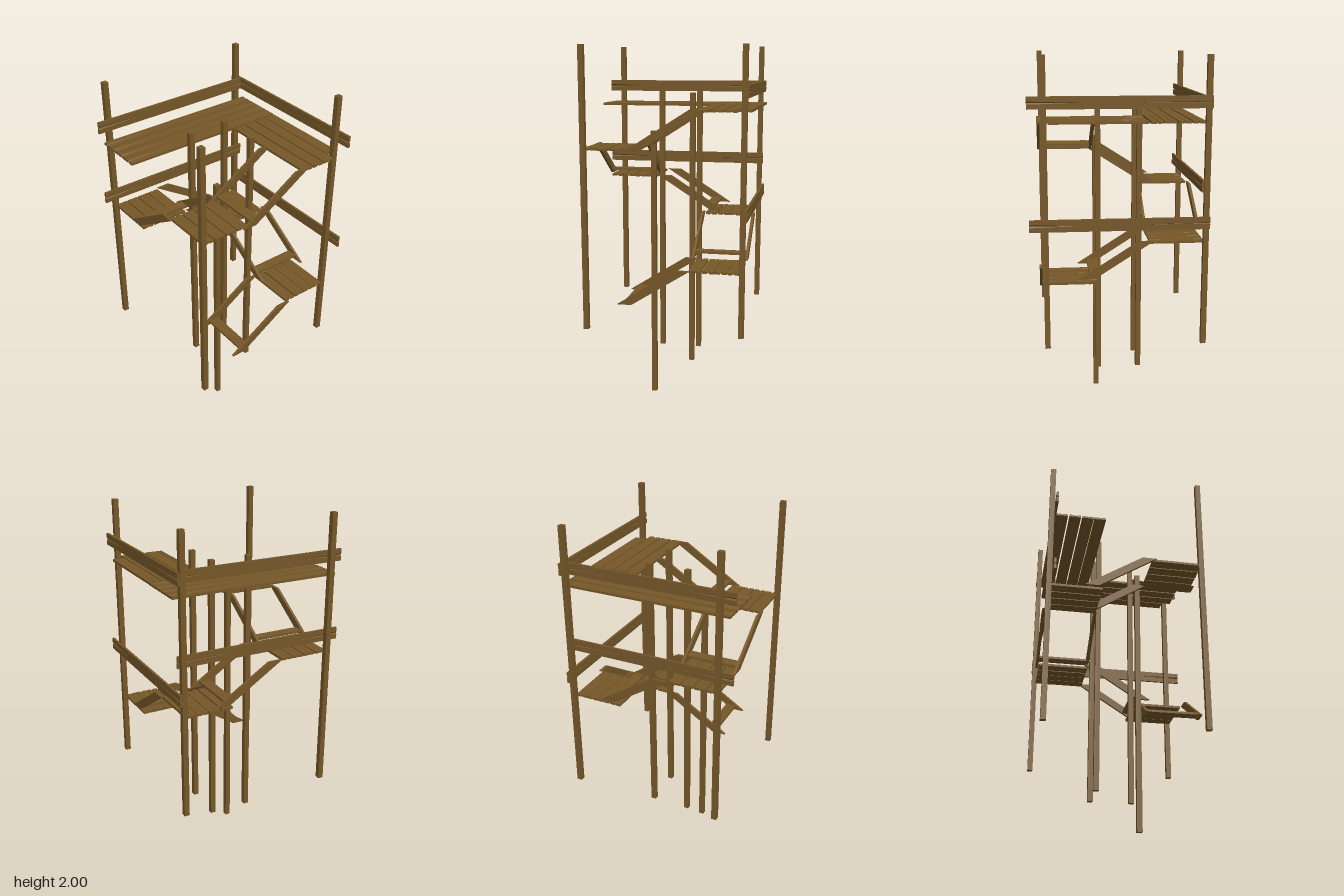
import * as THREE from 'three';

const wood = new THREE.MeshStandardMaterial({ color: 0x765829 });
wood.name = 'brown wood';

const THICK = 0.013;
const PLANK = 0.064;

// Board along x with tapering V-shaped splits carved in from both ends, on both broad faces
function plankGeometry(len, width) {
  const h = THICK / 2, w = width / 2;
  // Stations: x, half width of the split, depth of the split
  const stations = [
    [-len / 2, 0.06 * width, 0.005], [-len * 0.12, 0, 0],
    [len * 0.22, 0, 0], [len / 2, 0.12 * width, 0.0062],
  ];
  const pts = [], index = [];
  for (const [x, half, depth] of stations) {
    const top = [[-w, h], [-half, h], [0, h - depth], [half, h], [w, h]];
    for (const [z, y] of top) pts.push(x, y, z);
    for (const [z, y] of top) pts.push(x, -y, -z);
  }
  for (let s = 0; s < 3; s++) {
    for (let i = 0; i < 10; i++) {
      const a = s * 10 + i, b = s * 10 + (i + 1) % 10;
      index.push(a, b, a + 10, b, b + 10, a + 10);
    }
  }
  // End caps as strips between the upper and lower outlines
  for (let i = 0; i < 4; i++) {
    const a = i, b = i + 1, c = 8 - i, d = 9 - i;
    index.push(a, d, b, b, d, c);
    index.push(a + 30, b + 30, d + 30, b + 30, c + 30, d + 30);
  }
  const g = new THREE.BufferGeometry();
  g.setAttribute('position', new THREE.Float32BufferAttribute(pts, 3));
  g.setIndex(index);
  const flat = g.toNonIndexed();
  flat.computeVertexNormals();
  return flat;
}

function makePlank(name, len, width = PLANK) {
  const plank = new THREE.Mesh(plankGeometry(len, width), wood);
  plank.name = name;
  return plank;
}

// Landing of planks running along x between x0 and x1, one per z centre
function makeLanding(name, x0, x1, y, zs) {
  const landing = new THREE.Group();
  landing.name = name;
  for (const z of zs) {
    const p = makePlank('landingPlank', x1 - x0);
    p.position.set((x0 + x1) / 2, y, z);
    landing.add(p);
  }
  return landing;
}

// Flight descending along local +x: two slanted stringers and one low tread
function makeFlight(name, foot, yTop, yFoot) {
  const flight = new THREE.Group();
  flight.name = name;
  const run = (yTop - yFoot) * 1.57, cut = 0.078;
  const shape = new THREE.Shape([
    new THREE.Vector2(foot, yFoot),
    new THREE.Vector2(foot - run, yTop),
    new THREE.Vector2(foot - run - cut, yTop),
    new THREE.Vector2(foot - cut, yFoot),
  ]);
  const geo = new THREE.ExtrudeGeometry(shape, { depth: 0.015, bevelEnabled: false });
  geo.translate(0, 0, -0.0075);
  for (const side of [-1, 1]) {
    const stringer = new THREE.Mesh(geo, wood);
    stringer.name = 'stringer';
    stringer.position.z = side * 0.148;
    flight.add(stringer);
  }
  const tread = makePlank('tread', 0.281, 0.06);
  tread.rotation.y = -Math.PI / 2;
  tread.position.set(foot - 0.079, yFoot + 0.025, 0);
  flight.add(tread);
  return flight;
}

export function createModel() {
  const model = new THREE.Group();
  model.name = 'woodenStairTower';

  // Posts: x, z, foot height
  const postGeo = new THREE.BoxGeometry(0.029, 1.535, 0.029);
  const posts = [
    ['cornerPost', -0.455, 0.41, 0.465], ['cornerPost', 0.397, 0.41, 0.465],
    ['cornerPost', -0.455, -0.444, 0.465], ['cornerPost', 0.385, -0.444, 0.465],
    ['innerPost', -0.139, 0.096, 0.21], ['innerPost', -0.139, -0.125, 0.21],
    ['innerPost', 0.091, -0.125, 0.21], ['innerPost', 0.091, 0.096, 0],
  ];
  for (const [name, x, z, y] of posts) {
    const post = new THREE.Mesh(postGeo, wood);
    post.name = name;
    post.position.set(x, y + 0.7675, z);
    model.add(post);
  }

  // Rails standing on edge along the back and the right-hand side
  for (const y of [1.767, 1.14]) {
    const rail = makePlank('backRail', 0.941);
    rail.rotation.x = Math.PI / 2;
    rail.position.set(-0.001, y, -0.467);
    model.add(rail);
  }
  for (const y of [1.767, 1.334]) {
    const rail = makePlank('sideRail', 0.95);
    rail.rotation.set(Math.PI / 2, -Math.PI / 2, 0, 'YXZ');
    rail.position.set(-0.431, y, 0.009);
    model.add(rail);
  }

  // Top deck: long planks front to back, then a wing along the back
  [-0.4, -0.327, -0.255, -0.186].forEach((x) => {
    const p = makePlank('deckPlank', 0.94);
    p.rotation.y = -Math.PI / 2;
    p.position.set(x, 1.667, -0.014);
    model.add(p);
  });
  [-0.449, -0.379, -0.307, -0.234].forEach((z, i) => {
    const p = makePlank('wingPlank', i ? 0.563 : 0.51);
    p.position.set(i ? 0.139 : 0.11, 1.667, z);
    model.add(p);
  });

  // Landings stepping down around the tower
  const frontRows = [0.166, 0.235, 0.306, 0.377];
  const backRows = [-0.4, -0.333, -0.265, -0.192];
  model.add(
    makeLanding('frontLeftLanding', 0.119, 0.4, 1.458, frontRows),
    makeLanding('frontRightLanding', -0.447, -0.16, 1.246, frontRows),
    makeLanding('backRightLanding', -0.447, -0.162, 1.031, backRows),
    makeLanding('backLeftLanding', 0.119, 0.398, 0.818, backRows),
  );

  // Flights: name, foot along travel, top, foot height, turn, centre x, centre z
  const flights = [
    ['topFlight', 0.172, 1.673, 1.459, -Math.PI / 2, 0.265, 0],
    ['frontFlight', 0.26, 1.462, 1.258, Math.PI, 0, 0.266],
    ['sideFlight', 0.265, 1.252, 1.053, Math.PI / 2, -0.308, 0],
    ['backFlight', 0.209, 1.043, 0.845, 0, 0, -0.296],
    ['bottomFlight', 0.228, 0.825, 0.622, -Math.PI / 2, 0.265, 0],
  ];
  for (const [name, foot, yTop, yFoot, turn, x, z] of flights) {
    const flight = makeFlight(name, foot, yTop, yFoot);
    flight.rotation.y = turn;
    flight.position.set(x, 0, z);
    model.add(flight);
  }
  return model;
}
